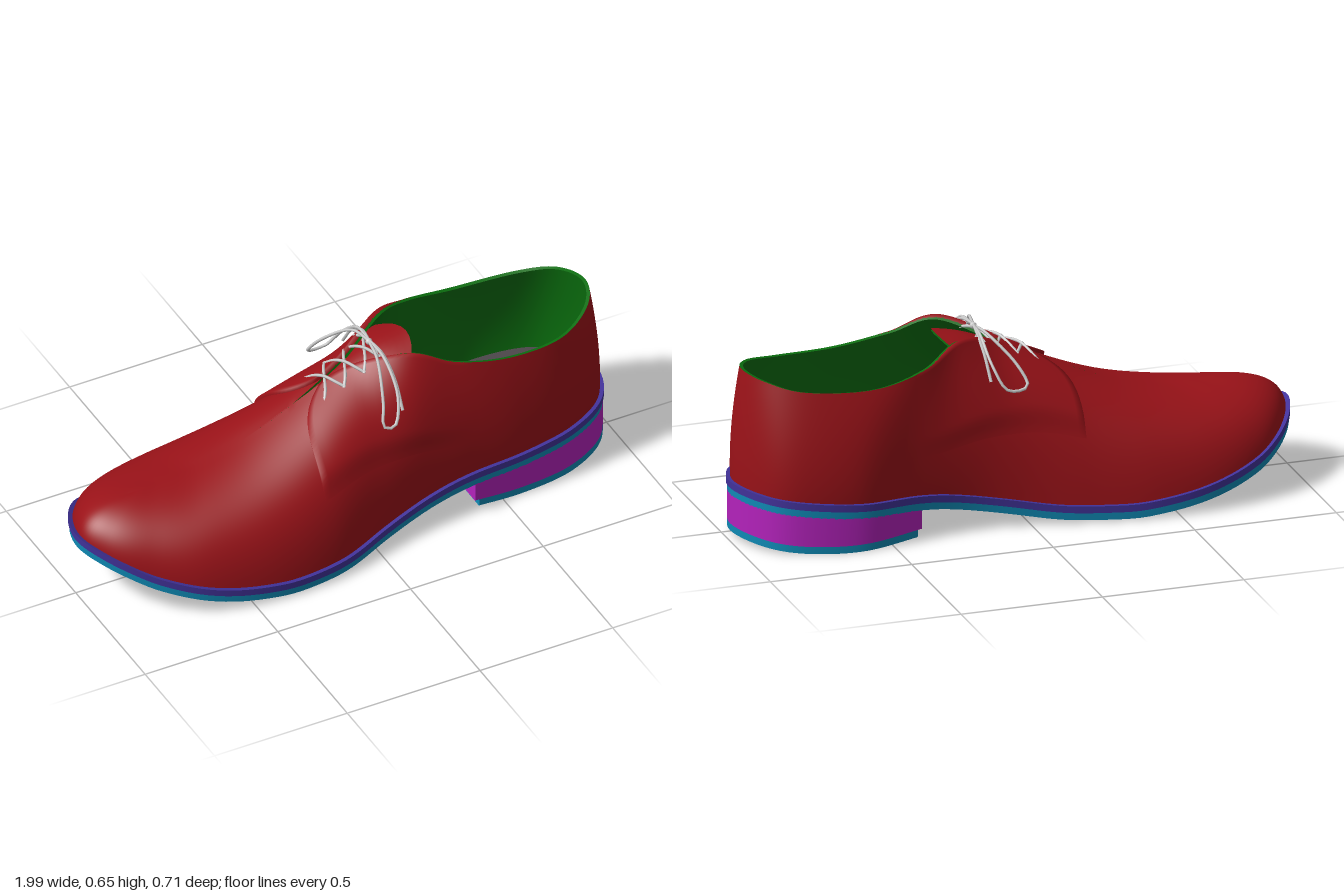
import * as THREE from 'three';
import { mergeGeometries, mergeVertices, toCreasedNormals } from 'three/addons/utils/BufferGeometryUtils.js';

const V = (x, y, z) => new THREE.Vector3(x, y, z);
const { lerp, smoothstep } = THREE.MathUtils;
const STATIONS = 24, N = 192;

// Plan outline of the sole: toe tip, +z side, heel, -z side
const outline = new THREE.CatmullRomCurve3([
  [-1, 0], [-.95, .115], [-.84, .215], [-.66, .31], [-.42, .352], [-.18, .338],
  [.03, .275], [.2, .237], [.38, .222], [.58, .215], [.78, .185], [.93, .1],
  [.99, -.045], [.94, -.2], [.83, -.295], [.62, -.335], [.4, -.293], [.2, -.272],
  [.03, -.285], [-.18, -.325], [-.42, -.36], [-.66, -.343], [-.84, -.27], [-.95, -.15],
].map(([x, z]) => V(x, 0, z)), true, 'catmullrom', .5);

// Upper edge at the same stations: centre ridge in front, collar behind
const rim = new THREE.CatmullRomCurve3([
  [-.78, .343, -.01], [-.74, .346, -.01], [-.66, .348, -.015], [-.53, .358, -.02],
  [-.36, .4, -.025], [-.17, .48, -.03], [.03, .578, -.01], [.21, .642, .09],
  [.36, .588, .145], [.55, .552, .165], [.75, .552, .15], [.89, .58, .07],
  [.945, .595, -.045], [.9, .583, -.165], [.78, .557, -.24], [.55, .55, -.268],
  [.36, .588, -.24], [.21, .642, -.15], [.03, .578, -.06], [-.17, .48, -.03],
  [-.36, .4, -.025], [-.53, .358, -.02], [-.66, .348, -.015], [-.74, .346, -.01],
].map(p => V(...p)), true, 'catmullrom', .5);

// Smooth height along x through a few points
function heights(pts) {
  const slope = i => {
    const a = pts[Math.max(i - 1, 0)], b = pts[Math.min(i + 1, pts.length - 1)];
    return (b[1] - a[1]) / (b[0] - a[0]);
  };
  return x => {
    let i = 0;
    while (i < pts.length - 2 && x > pts[i + 1][0]) i++;
    const [x0, y0] = pts[i], [x1, y1] = pts[i + 1], h = x1 - x0, t = (x - x0) / h, s = 1 - t;
    return y0 * (1 + 2 * t) * s * s + y1 * t * t * (3 - 2 * t) + h * t * s * (slope(i) * s - slope(i + 1) * t);
  };
}
const soleY = heights([[-1, .2], [-.9, .148], [-.8, .1], [-.6, .043], [-.4, .014], [-.3, .01],
  [-.1, .02], [.1, .056], [.3, .096], [.4, .108], [.62, .12], [1, .155]]);
const ridgeY = heights([[-.36, .4], [-.17, .478], [.03, .575], [.15, .62], [.26, .642]]);

const wrap = t => ((t % 1) + 1) % 1;
function planPoint(t, inset) {
  const p = outline.getPoint(wrap(t)), d = outline.getTangent(wrap(t));
  return V(p.x + d.z * inset, 0, p.z - d.x * inset);
}

// Grid surface from a point rule
function grid(nu, nv, point, flip = false) {
  const pos = [], idx = [];
  for (let j = 0; j <= nv; j++) for (let i = 0; i <= nu; i++) pos.push(...point(i, j).toArray());
  for (let j = 0; j < nv; j++) for (let i = 0; i < nu; i++) {
    const a = j * (nu + 1) + i, b = a + 1, c = a + nu + 1, d = c + 1;
    idx.push(...(flip ? [a, d, b, a, c, d] : [a, b, d, a, d, c]));
  }
  const g = new THREE.BufferGeometry();
  g.setAttribute('position', new THREE.Float32BufferAttribute(pos, 3));
  g.setIndex(idx);
  const m = mergeVertices(g);
  m.computeVertexNormals();
  return m;
}

// Solid between two height rules over a loop symmetric about its first point
function slab(loop, low, high) {
  const n = loop.length, half = Math.floor(n / 2);
  const at = (i, f) => { const p = loop[((i % n) + n) % n]; return V(p.x, f(p.x), p.z); };
  const cap = (f, flip) => grid(half, 1, (i, j) => at(j ? n - i : i, f), flip);
  return toCreasedNormals(mergeGeometries([
    grid(n, 1, (i, j) => at(i, j ? high : low)), cap(high, false), cap(low, true),
  ]), .7);
}

// Upper wall: quadratic profile from the welt to the ridge or collar
function wall(t, v) {
  const b = planPoint(t, .014), r = rim.getPoint(wrap(t));
  b.y = soleY(b.x) + .045;
  const w = smoothstep(b.x, -.15, .35);
  const c = b.clone().lerp(r, lerp(.1, -.18, w));
  c.y = lerp(b.y, r.y, lerp(.96, .45, w));
  return b.multiplyScalar((1 - v) ** 2).addScaledVector(c, 2 * v * (1 - v)).addScaledVector(r, v * v);
}
function offsetWall(t, v, d) {
  const q = Math.min(Math.max(v, .02), .97), e = .002;
  const du = wall(t + e, q).sub(wall(t - e, q)), dv = wall(t, q + .02).sub(wall(t, q - .02));
  return wall(t, v).addScaledVector(du.cross(dv).normalize(), d);
}

export function createModel() {
  const shoe = new THREE.Group();
  shoe.name = 'shoe';
  const mat = (color, side = THREE.FrontSide) => new THREE.MeshStandardMaterial({ color, side });
  const red = mat(0x9a1218, THREE.DoubleSide), green = mat(0x0a6e0e, THREE.DoubleSide);
  const teal = mat(0x0f8ab5), purple = mat(0x42329a), magenta = mat(0xb422bc);
  const insoleGrey = mat(0x4a4548), laceGrey = mat(0xcccccc);
  const add = (name, geometry, material) => {
    const m = new THREE.Mesh(geometry, material);
    m.name = name;
    shoe.add(m);
  };
  const loop = inset => Array.from({ length: N }, (_, i) => planPoint(i / N, inset));
  const above = d => x => soleY(x) + d;

  // Sole layers
  add('outsole', slab(loop(.004), above(0), above(.026)), teal);
  add('welt', slab(loop(0), above(.026), above(.05)), purple);
  add('insole', slab(loop(.035), above(.05), above(.066)), insoleGrey);

  // Heel block and top piece, starting behind the arch with a slanted breast
  const heelLoop = front => {
    const pts = [];
    for (let i = 0; i <= 80; i++) {
      const p = planPoint(lerp(7.7, 16.4, i / 80) / STATIONS, .004);
      p.x = Math.max(p.x, front);
      pts.push(p);
    }
    const middle = V(front + .012, 0, (pts[0].z + pts[80].z) / 2);
    return [middle, ...pts];
  };
  const heelBottom = x => .003 + .2 * (x - .65) ** 2;
  add('heelTip', slab(heelLoop(.405), heelBottom, x => heelBottom(x) + .025), teal);
  add('heelBlock', slab(heelLoop(.39), x => heelBottom(x) + .025, above(.002)), magenta);

  // Upper, lining and collar edge
  add('upper', grid(N, 24, (i, j) => wall(i / N, j / 24)), red);
  add('lining', grid(N, 20, (i, j) => offsetWall(i / N, j / 20, -.012), true), green);
  add('collarEdge', grid(N, 1, (i, j) => offsetWall(i / N, 1, j ? -.012 : 0)), green);

  // Quarters: raised facings with a curved front edge
  for (const s of [1, -1]) {
    add(s > 0 ? 'leftQuarter' : 'rightQuarter', grid(30, 25, (i, j) => {
      const v = lerp(.34, 1, Math.min(j, 24) / 24);
      const f = Math.max(i - 1, 0) / 29;
      const u = lerp(4.92 + .65 * v ** 8, 8.2, f);
      const edge = i === 0 || j === 25;
      const lift = .012 * (1 - smoothstep(f, .45, 1)) * smoothstep(v, .34, .5);
      return offsetWall(s * u / STATIONS, v, edge ? -.003 : lift + .0005);
    }, s < 0), red);
  }

  // Tongue, rounded at its free end
  const tongue = drop => (i, j) => {
    const a = j / 8 * 2 - 1, f = i / 20;
    const x = lerp(-.26, .26 - .05 * a * a, f);
    const w = lerp(.03, .125, smoothstep(f, .2, 1));
    return V(x, ridgeY(x) - .004 - drop - lerp(.01, .035, f) * a * a, -.03 - a * w);
  };
  add('tongue', grid(20, 8, tongue(0)), red);
  add('tongueLining', grid(20, 8, tongue(.008), true), green);

  // Crossed laces, bow loops and loose ends
  const lace = (name, pts) => add(name, new THREE.TubeGeometry(
    new THREE.CatmullRomCurve3(pts.map(p => V(...p))), 32, .0055, 6), laceGrey);
  for (let k = 0; k < 3; k++) for (const s of [1, -1]) {
    const x = -.09 + k * .075, z = d => -.025 + s * d;
    lace('crossedLace', [[x, ridgeY(x) - .005, z(-.075)], [x + .02, ridgeY(x + .02) + .012, z(-.045)],
      [x + .04, ridgeY(x + .04) + .018 + s * .004, z(0)],
      [x + .06, ridgeY(x + .06) + .012, z(.045)], [x + .08, ridgeY(x + .08) - .005, z(.075)]]);
  }
  lace('laceBar', [[.11, .61, -.12], [.12, .637, -.07], [.12, .645, -.03], [.12, .637, .02], [.11, .61, .06]]);
  for (const s of [1, -1]) {
    const z = d => -.03 + s * d * (s > 0 ? 1 : .84), spread = s > 0 ? 0 : .035;
    lace('bowLoop', [[.12, .645, z(0)], [.1, .64, z(.1)], [.06 - spread, .55, z(.22)], [.04 - spread, .49, z(.265)],
      [.075, .485, z(.272)], [.115, .56, z(.22)], [.125, .64, z(.1)], [.12, .645, z(0)]]);
    lace('laceEnd', [[.12, .648, z(0)], [.13, .64, z(.08)], [.13, .59, z(.17)], [.125, .51, z(.235)]]);
  }
  const knot = new THREE.SphereGeometry(.012, 12, 8).translate(.12, .642, -.03);
  add('knot', knot, laceGrey);
  return shoe;
}
